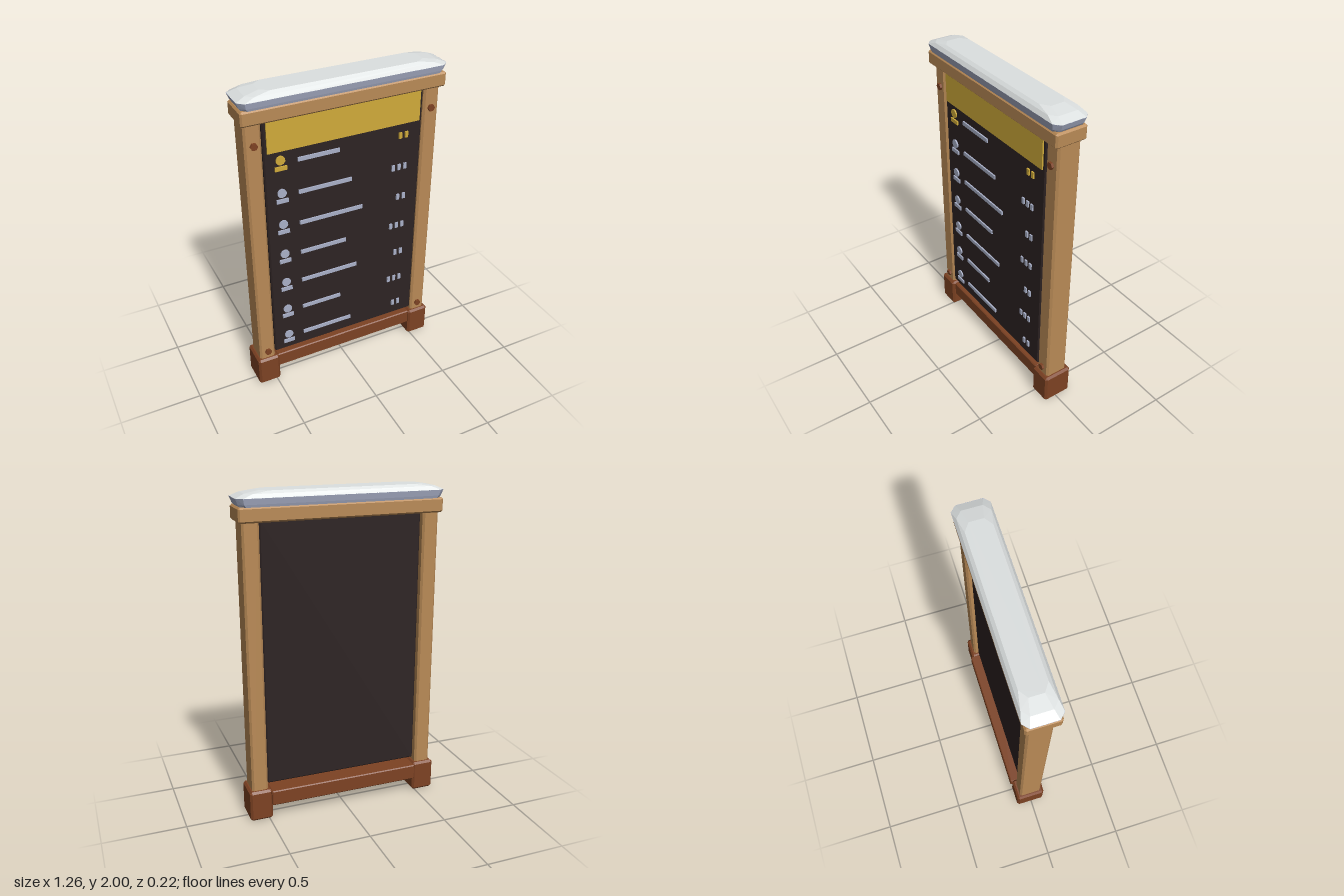
import * as THREE from 'three';
import { ConvexGeometry } from 'three/addons/geometries/ConvexGeometry.js';

const mat = (name, color) => {
  const m = new THREE.MeshStandardMaterial({ color });
  m.name = name;
  return m;
};

// Box with every edge chamfered by c, given by its min and max corners
function chamferBox([x0, y0, z0], [x1, y1, z1], c) {
  const half = [(x1 - x0) / 2, (y1 - y0) / 2, (z1 - z0) / 2];
  const pts = [];
  for (const sx of [-1, 1]) for (const sy of [-1, 1]) for (const sz of [-1, 1])
    for (let axis = 0; axis < 3; axis++) {
      const p = half.map((h, i) => (i === axis ? h : h - c));
      pts.push(new THREE.Vector3(sx * p[0], sy * p[1], sz * p[2]));
    }
  return new ConvexGeometry(pts).translate((x0 + x1) / 2, (y0 + y1) / 2, (z0 + z1) / 2);
}

// Convex solid through octagonal rings [y, halfX, halfZ, cutX, cutZ]
function ringSolid(rings) {
  const pts = [];
  for (const [y, x, z, cx, cz] of rings)
    for (const sx of [-1, 1]) for (const sz of [-1, 1])
      pts.push(new THREE.Vector3(sx * x, y, sz * (z - cz)), new THREE.Vector3(sx * (x - cx), y, sz * z));
  return new ConvexGeometry(pts);
}

export function createModel() {
  const wood = mat('tan wood', 0xb98a56);
  const darkWood = mat('dark brown wood', 0x7d4223);
  const slate = mat('dark board', 0x2d2323);
  const gold = mat('gold', 0xd0ab3a);
  const silver = mat('silver blue', 0xa9b0c8);
  const snow = mat('snow white', 0xdce0e0);

  const model = new THREE.Group();
  const add = (parent, name, geometry, material) => {
    const mesh = new THREE.Mesh(geometry, material);
    mesh.name = name;
    parent.add(mesh);
    return mesh;
  };

  // Posts, feet and bolts, mirrored left and right
  for (const s of [-1, 1]) {
    const side = new THREE.Group();
    side.name = s > 0 ? 'leftSupport' : 'rightSupport';
    model.add(side);
    const span = (a, b) => (s > 0 ? [a, b] : [-b, -a]);
    const [p0, p1] = span(0.5, 0.6);
    add(side, 'post', chamferBox([p0, 0, -0.078], [p1, 1.85, 0.067], 0.012), wood);
    const [f0, f1] = span(0.478, 0.62);
    add(side, 'foot', chamferBox([f0, 0.004, -0.1], [f1, 0.2, 0.087], 0.013), darkWood);
    for (const y of [0.25, 1.7]) {
      const bolt = add(side, 'bolt', new THREE.CylinderGeometry(0.022, 0.022, 0.03, 6), darkWood);
      bolt.geometry.rotateY(Math.PI / 6).rotateX(Math.PI / 2).rotateZ(Math.PI / 6);
      bolt.geometry = bolt.geometry.toNonIndexed();
      bolt.geometry.computeVertexNormals();
      // Keep a point of the hexagon toward the sides
      bolt.geometry.computeBoundingBox();
      const b = bolt.geometry.boundingBox;
      if (b.max.y > b.max.x) bolt.geometry.rotateZ(Math.PI / 6);
      bolt.position.set(s * 0.548, y, 0.066);
    }
  }

  // Frame beams and board
  add(model, 'bottomRail', chamferBox([-0.485, 0.095, -0.111], [0.485, 0.192, 0.068], 0.006), darkWood);
  add(model, 'topBeam', chamferBox([-0.62, 1.83, -0.097], [0.62, 1.917, 0.1], 0.01), wood);
  add(model, 'board', chamferBox([-0.495, 0.222, -0.05], [0.495, 1.845, 0.062], 0.008), slate);

  // Snow-covered cap: cool lower band and pale faceted top
  add(model, 'capUnderside', ringSolid([
    [1.915, 0.605, 0.095, 0.03, 0.025],
    [1.93, 0.615, 0.1, 0.03, 0.03],
    [1.964, 0.628, 0.108, 0.035, 0.033],
  ]), silver);
  add(model, 'capTop', ringSolid([
    [1.9635, 0.628, 0.108, 0.035, 0.033],
    [1.986, 0.575, 0.094, 0.04, 0.035],
    [2.0, 0.49, 0.076, 0.05, 0.035],
  ]), snow);

  // Thin plates on the board front
  const plate = (parent, name, x0, x1, y0, y1, material) => {
    const mesh = add(parent, name, new THREE.BoxGeometry(x1 - x0, y1 - y0, 0.009), material);
    mesh.position.set((x0 + x1) / 2, (y0 + y1) / 2, 0.0665);
  };
  plate(model, 'headerPanel', -0.475, 0.475, 1.635, 1.83, gold);

  // List rows: figure, long bar and short marks
  const barEnds = [-0.04, 0.035, 0.11, 0, 0.075, -0.04, 0.035];
  barEnds.forEach((end, i) => {
    const y = 1.562 - i * 0.2075;
    const accent = i === 0 ? gold : silver;
    const row = new THREE.Group();
    row.name = 'listRow';
    model.add(row);
    const head = add(row, 'figureHead', new THREE.CylinderGeometry(0.028, 0.028, 0.009, 10), accent);
    head.rotation.x = Math.PI / 2;
    head.position.set(-0.4, y + 0.018, 0.0665);
    plate(row, 'figureBody', -0.435, -0.363, y - 0.045, y - 0.02, accent);
    plate(row, 'nameBar', -0.298, end, y - 0.012, y + 0.012, silver);
    const marks = i % 2 ? 3 : 2;
    for (let k = 0; k < marks; k++) {
      const x = 0.394 - k * 0.04;
      plate(row, 'scoreMark', x - 0.01, x + 0.01, y - 0.02, y + 0.018, accent);
    }
  });

  return model;
}
